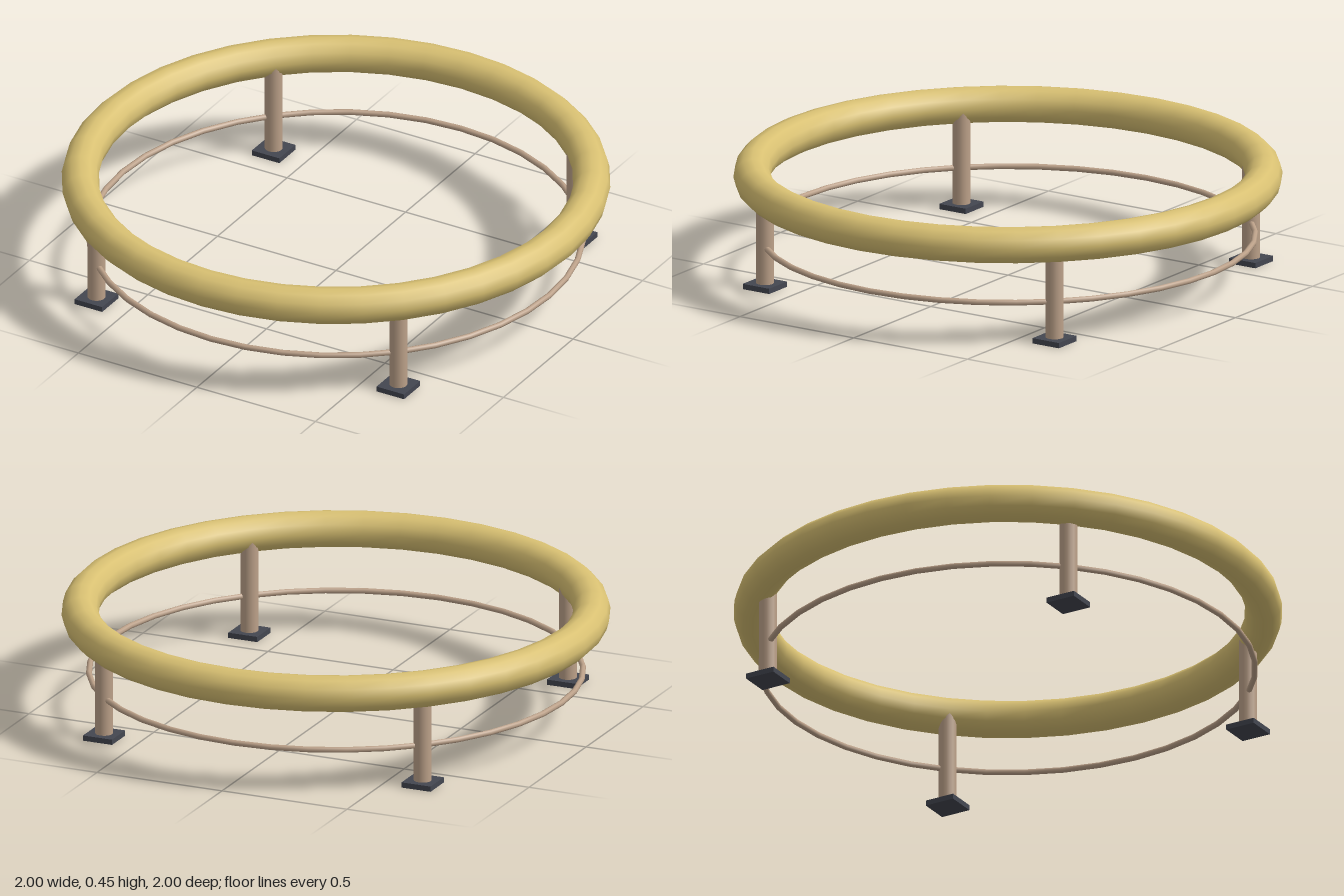
import * as THREE from 'three';

export function createModel() {
  const model = new THREE.Group();
  const gold = new THREE.MeshStandardMaterial({ name: 'paleGold', color: 0xd8c072 });
  const tan = new THREE.MeshStandardMaterial({ name: 'tanMetal', color: 0xbca189 });
  const slate = new THREE.MeshStandardMaterial({ name: 'darkSlate', color: 0x434650 });

  const add = (parent, name, geometry, material, x, y, z) => {
    const mesh = new THREE.Mesh(geometry, material);
    mesh.name = name;
    mesh.position.set(x, y, z);
    parent.add(mesh);
  };
  const hoop = (radius, tube, sides) =>
    new THREE.TorusGeometry(radius, tube, sides, 40).rotateX(Math.PI / 2);

  // Thick upper ring and thin lower rail
  add(model, 'topRing', hoop(0.932, 0.068, 12), gold, 0, 0.381, 0);
  add(model, 'lowerRail', hoop(0.9, 0.011, 8), tan, 0, 0.154, 0);

  // Four posts on square feet, set on the diagonals
  const postGeometry = new THREE.CylinderGeometry(0.033, 0.033, 0.361, 16);
  const footGeometry = new THREE.BoxGeometry(0.116, 0.02, 0.116);
  for (const x of [-0.637, 0.637]) {
    for (const z of [-0.637, 0.637]) {
      const leg = new THREE.Group();
      leg.name = `${z > 0 ? 'front' : 'back'}${x > 0 ? 'Left' : 'Right'}Leg`;
      leg.position.set(x, 0, z);
      add(leg, 'post', postGeometry, tan, 0, 0.1955, 0);
      add(leg, 'foot', footGeometry, slate, 0, 0.01, 0);
      model.add(leg);
    }
  }
  return model;
}
